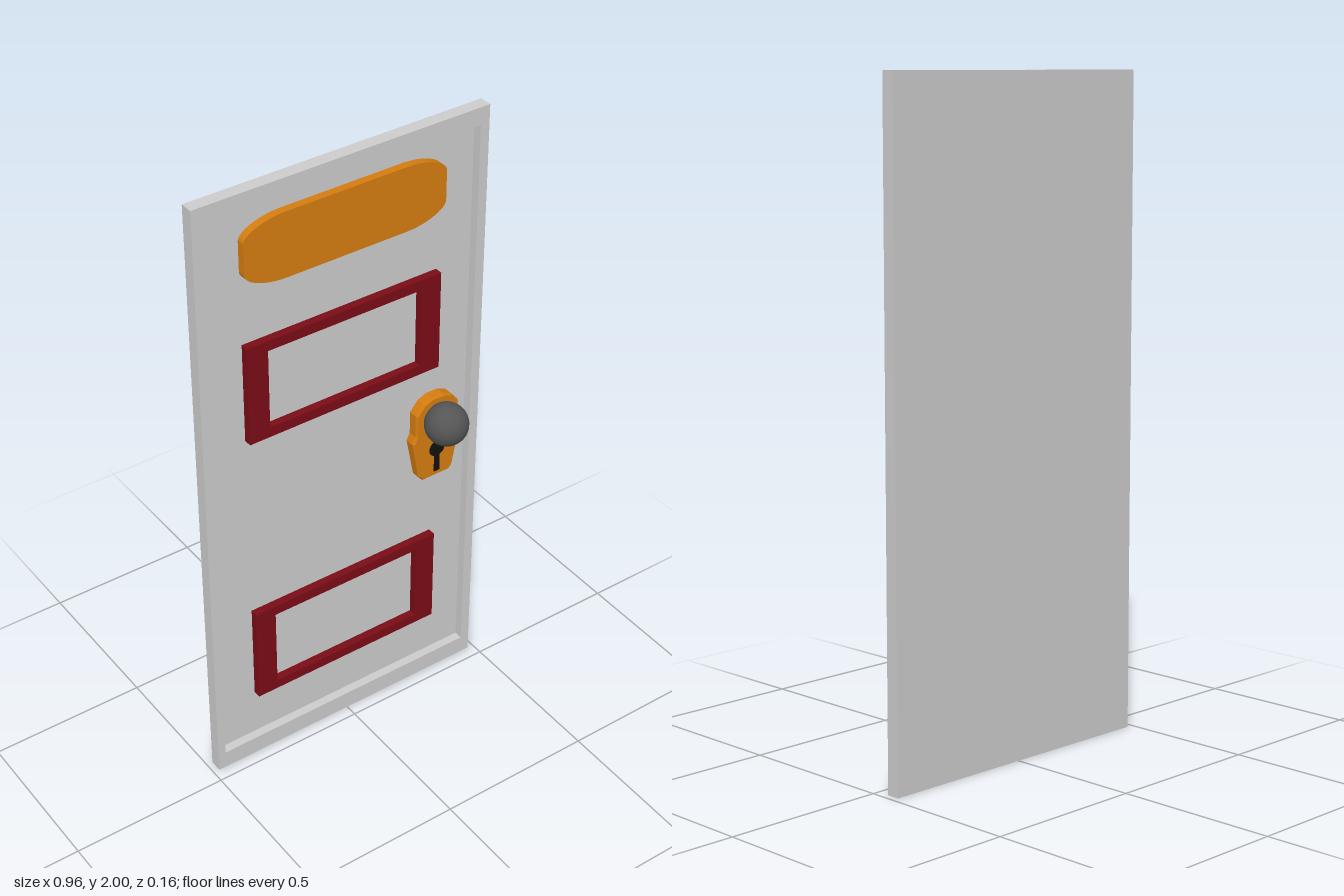
import * as THREE from 'three';

const FLOOR = -0.068; // recessed panel surface
const mat = (color) => new THREE.MeshStandardMaterial({ color });
const GREY = mat(0xcccccc), RED = mat(0x7a0c16), GOLD = mat(0xd47c10), IRON = mat(0x555555), BLACK = mat(0x111111);

function rect(Type, x0, x1, y0, y1) {
  const p = new Type();
  p.moveTo(x0, y0).lineTo(x1, y0).lineTo(x1, y1).lineTo(x0, y1).closePath();
  return p;
}

// Extrudes a front outline from depth z0 to z1
function slab(name, shape, z0, z1, material, bevel = 0) {
  const geo = new THREE.ExtrudeGeometry(shape, {
    depth: z1 - z0 - bevel, bevelEnabled: bevel > 0, bevelThickness: bevel,
    bevelSize: bevel, bevelOffset: -bevel, bevelSegments: 1, curveSegments: 12,
  });
  geo.translate(0, 0, z0);
  const mesh = new THREE.Mesh(geo, material);
  mesh.name = name;
  return mesh;
}

function frame(name, outer, inner, z0, z1, material) {
  const s = rect(THREE.Shape, ...outer);
  s.holes.push(rect(THREE.Path, ...inner));
  return slab(name, s, z0, z1, material);
}

export function createModel() {
  const door = new THREE.Group();
  door.name = 'door';

  // Leaf with a raised rim around the recessed panel
  door.add(slab('doorPanel', rect(THREE.Shape, -0.48, 0.48, 0, 2), -0.08, FLOOR, GREY));
  door.add(frame('doorRim', [-0.48, 0.48, 0, 2], [-0.455, 0.45, 0.06, 1.945], FLOOR, -0.04, GREY));

  // Red rectangular mouldings
  [['upperMoulding', 1.185, 1.51], ['lowerMoulding', 0.222, 0.553]].forEach(([name, y0, y1]) =>
    door.add(frame(name, [-0.325, 0.33, y0, y1], [-0.257, 0.262, y0 + 0.032, y1 - 0.033], FLOOR, -0.043, RED)));

  // Blank plaque with soft elliptical corners
  const plaque = new THREE.Shape();
  plaque.moveTo(-0.19, 1.69).lineTo(0.205, 1.69);
  plaque.bezierCurveTo(0.28, 1.69, 0.34, 1.72, 0.34, 1.745).lineTo(0.34, 1.84);
  plaque.bezierCurveTo(0.34, 1.865, 0.28, 1.895, 0.205, 1.895).lineTo(-0.19, 1.895);
  plaque.bezierCurveTo(-0.265, 1.895, -0.325, 1.865, -0.325, 1.84).lineTo(-0.325, 1.745);
  plaque.bezierCurveTo(-0.325, 1.72, -0.265, 1.69, -0.19, 1.69);
  door.add(slab('plaque', plaque, FLOOR, -0.043, GOLD));

  // Lock plate, keyhole and knob, centred on x = 0 of the group
  const lock = new THREE.Group();
  lock.name = 'lock';
  lock.position.x = 0.325;

  const half = [[0.048, 0.79], [0.062, 0.806], [0.088, 0.94], [0.077, 0.965], [0.077, 1.04], [0.05, 1.073], [0.02, 1.085]];
  const plate = new THREE.Shape([...half, ...half.map(([x, y]) => [-x, y]).reverse()]
    .map(([x, y]) => new THREE.Vector2(x, y)));
  lock.add(slab('lockPlate', plate, FLOOR, -0.034, GOLD, 0.006));

  const keyTop = new THREE.Mesh(new THREE.CylinderGeometry(0.028, 0.028, 0.004, 20).rotateX(Math.PI / 2), BLACK);
  keyTop.name = 'keyholeTop';
  keyTop.position.set(0, 0.895, -0.034);
  const keySlot = slab('keyholeSlot', new THREE.Shape([[-0.011, 0.81], [0.011, 0.81], [0.008, 0.89], [-0.008, 0.89]]
    .map(([x, y]) => new THREE.Vector2(x, y))), -0.036, -0.032, BLACK);
  lock.add(keyTop, keySlot);

  const knob = new THREE.Mesh(new THREE.SphereGeometry(0.067, 32, 24), IRON);
  knob.name = 'knob';
  knob.position.set(-0.002, 1.013, 0.012);
  lock.add(knob);

  door.add(lock);
  return door;
}
